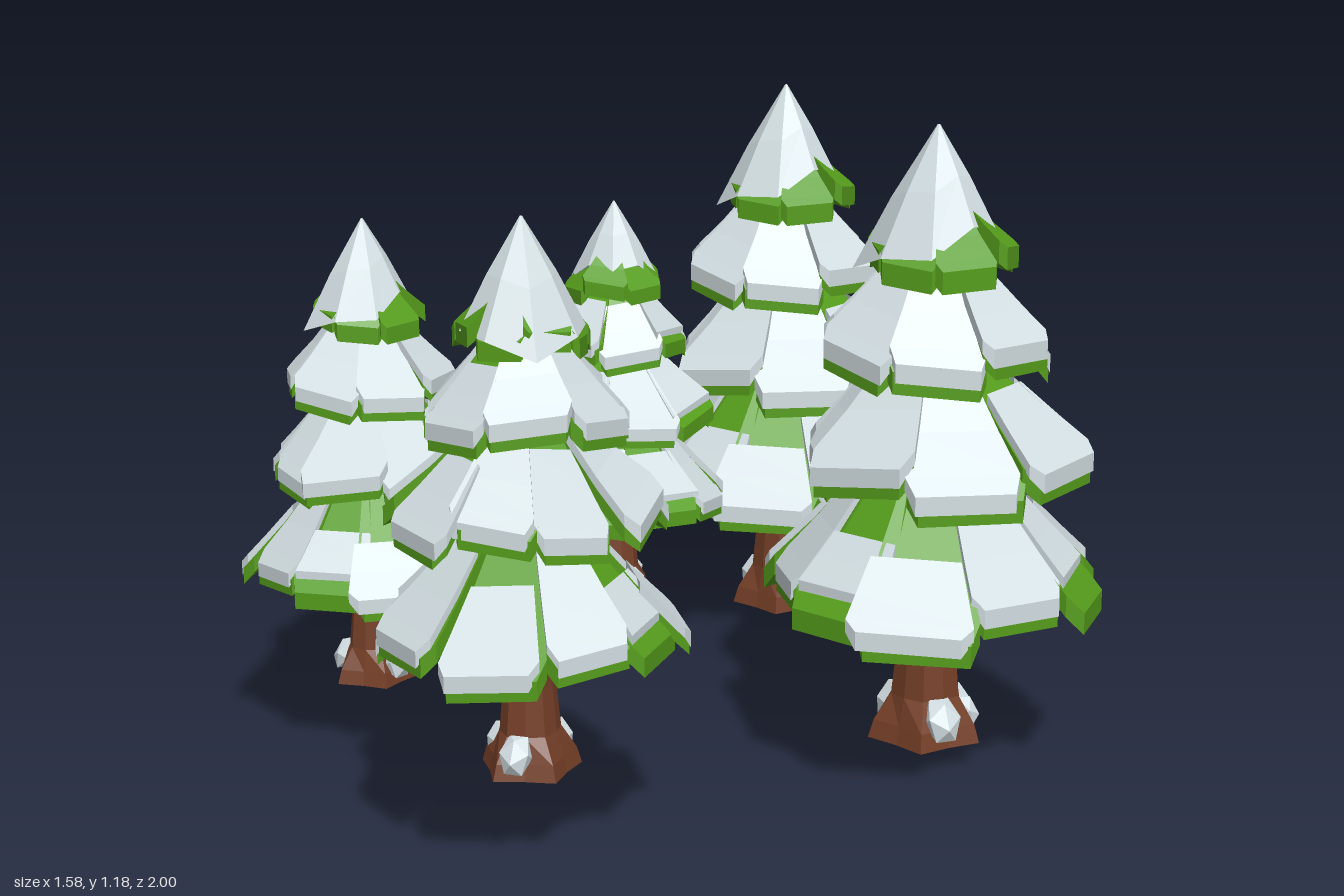
import * as THREE from 'three';
import { mergeGeometries } from 'three/addons/utils/BufferGeometryUtils.js';

const RAD = Math.PI / 180;

// flat-faced copy of a geometry
function facet(geo) {
  const g = geo.index ? geo.toNonIndexed() : geo;
  g.deleteAttribute('uv');
  g.computeVertexNormals();
  return g;
}

// small seeded random generator
function seeded(seed) {
  return () => {
    seed = (seed * 16807) % 2147483647;
    return seed / 2147483647;
  };
}

// solid slab pointing outward at angle a, rolled sideways; each section is [radius, halfWidth, top, bottom]
function slab(a, roll, sections) {
  const s = Math.sin(a), c = Math.cos(a);
  const rings = sections.map(([r, w, top, bot]) =>
    [[-w, top], [w, top], [w, bot], [-w, bot]].map(([t, y]) => [s * r + c * t, y + t * roll, c * r - s * t]));
  const pos = [];
  const quad = (p, q, u, v) => pos.push(...p, ...q, ...u, ...p, ...u, ...v);
  for (let i = 0; i < rings.length - 1; i++) {
    const A = rings[i], B = rings[i + 1];
    for (let j = 0; j < 4; j++) quad(A[j], B[j], B[(j + 1) % 4], A[(j + 1) % 4]);
  }
  const A = rings[0], Z = rings[rings.length - 1];
  quad(A[0], A[1], A[2], A[3]);
  quad(Z[0], Z[3], Z[2], Z[1]);
  const g = new THREE.BufferGeometry();
  g.setAttribute('position', new THREE.Float32BufferAttribute(pos, 3));
  return facet(g);
}

// one tier: drooping green boughs [angle, reach, snowFrom, snowTo], snow lying on part of each
function tierGeometry({ yTop, rTop, yRim, boughs, seed }) {
  const rnd = seeded(seed), green = [], snow = [];
  const spread = Math.tan(Math.PI / boughs.length);
  boughs.forEach(([deg, reach, from, to], k) => {
    const a = deg * RAD;
    const y1 = yRim + (k % 2) * 0.018 + 0.012 * rnd();
    const roll = (rnd() - 0.5) * 0.3;
    const section = (t, lift, thick, widen) => {
      const r = rTop + (reach - rTop) * t;
      const y = yTop + (y1 + 0.035 - yTop) * Math.pow(t, 0.88) + lift;
      const w = r * spread * widen * (t > 0.95 ? 0.82 : 1.05);
      return [r, w, y, y - thick];
    };
    green.push(slab(a, roll, [0, 0.5, 0.85, 1].map((t) => section(t, 0, 0.035, 1))));
    if (to > from) {
      const wide = 0.93 + 0.12 * rnd(), skew = (rnd() - 0.5) * 0.1;
      // full-length snow hangs over the tip of its bough
      snow.push(slab(a + skew, roll, [0, 0.5, 0.84, 1].map((u) =>
        section(from + (to - from) * u, 0.016, u === 1 && to > 1 ? 0.03 : 0.021, wide))));
    }
  });
  // inner cone closes the gaps between boughs
  const h = (yTop - yRim) * 0.5;
  const core = new THREE.CylinderGeometry(rTop * 0.9, rTop + (boughs[0][1] - rTop) * 0.3, h, boughs.length);
  core.translate(0, yTop - 0.02 - h / 2, 0);
  green.push(facet(core));
  return { green: mergeGeometries(green), snow: snow.length ? mergeGeometries(snow) : null };
}

// snow cap, a cone cut at a slant so its rim is higher on one side
function capGeometry() {
  const g = new THREE.CylinderGeometry(0.002, 0.1, 0.2, 8, 2);
  const p = g.attributes.position;
  for (let i = 0; i < p.count; i++) {
    const x = p.getX(i), z = p.getZ(i);
    const a = Math.atan2(x, z), low = (0.1 - p.getY(i)) / 0.2;
    const centre = Math.hypot(x, z) < 0.001;
    const drop = centre ? 0.15 * low : low * (0.184 - 0.035 * Math.sin(a) + 0.01 * Math.cos(a * 4));
    const k = centre ? 0 : (0.56 * drop * (low === 0.5 ? 1.08 : 1) + 0.002) / Math.hypot(x, z);
    p.setXYZ(i, x * k, 1 - drop, z * k);
  }
  return facet(g);
}

// trunk with a flared, knobbly foot
function trunkGeometry() {
  const profile = [[0, 0.004], [0.084, 0], [0.076, 0.03], [0.056, 0.075], [0.048, 0.16], [0.043, 0.4], [0, 0.4]];
  const g = new THREE.LatheGeometry(profile.map(([x, y]) => new THREE.Vector2(x, y)), 10);
  const p = g.attributes.position;
  for (let i = 0; i < p.count; i++) {
    const y = p.getY(i);
    const a = Math.atan2(p.getX(i), p.getZ(i));
    const k = 1 + (y < 0.05 ? 0.13 : 0.03) * Math.cos(a * 5);
    p.setX(i, p.getX(i) * k);
    p.setZ(i, p.getZ(i) * k);
  }
  return facet(g);
}

// lumps of snow lying on the roots
function rootSnowGeometry() {
  return mergeGeometries([[28, 0.032], [88, 0.024], [135, 0.028], [238, 0.032]].map(([deg, s]) => {
    const g = new THREE.IcosahedronGeometry(1, 0);
    g.scale(s, s * 1.3, s * 0.8);
    g.rotateX(-0.5);
    g.translate(0, 0.047, 0.066);
    g.rotateY(deg * RAD);
    return facet(g);
  }));
}

export function createModel() {
  const mat = (name, color) => {
    const m = new THREE.MeshStandardMaterial({ color });
    m.name = name;
    return m;
  };
  const snow = mat('snow', 0xd4e0e4);
  const green = mat('needleGreen', 0x569e1c);
  const bark = mat('barkBrown', 0x753f27);

  const tiers = [
    { name: 'bottom', yTop: 0.47, rTop: 0.085, yRim: 0.215, seed: 11, boughs: [
      [0, 0.275, 0.55, 1.02], [40, 0.24, 0.3, 1.02], [80, 0.268, 0.3, 0.8], [122, 0.262, 0.4, 0.87],
      [160, 0.255, 0.15, 1.02], [200, 0.255, 0.2, 1.02], [246, 0.262, 0.4, 1.02], [288, 0.235, 0.1, 1.02],
      [326, 0.25, 0.5, 0.87]] },
    { name: 'lower', yTop: 0.65, rTop: 0.065, yRim: 0.425, seed: 57, boughs: [
      [18, 0.24, 0.1, 1.02], [63, 0.24, 0.35, 1.02], [108, 0.238, 0.3, 1.02], [153, 0.235, 0.1, 0.9],
      [198, 0.22, 0.35, 1.02], [243, 0.188, 0.1, 1.02], [288, 0.183, 0.25, 1.02], [333, 0.225, 0, 1.02]] },
    { name: 'upper', yTop: 0.80, rTop: 0.05, yRim: 0.605, seed: 93, boughs: [
      [5, 0.168, 0, 1.02], [56, 0.17, 0.3, 1.02], [108, 0.168, 0.3, 1.02], [159, 0.163, 0.1, 0.88],
      [211, 0.163, 0.35, 1.02], [262, 0.16, 0, 1.02], [314, 0.168, 0.15, 1.02]] },
    { name: 'top', yTop: 0.89, rTop: 0.042, yRim: 0.757, seed: 35, boughs: [
      [30, 0.115, 0, 0], [81, 0.122, 0, 0], [133, 0.118, 0, 0], [184, 0.108, 0, 0],
      [236, 0.1, 0, 0], [287, 0.1, 0, 0], [339, 0.106, 0, 0]] },
  ].map((t) => ({ name: t.name, ...tierGeometry(t) }));
  const trunk = trunkGeometry(), rootSnow = rootSnowGeometry(), cap = capGeometry();

  const add = (parent, name, geo, material) => {
    const mesh = new THREE.Mesh(geo, material);
    mesh.name = name;
    parent.add(mesh);
  };

  const model = new THREE.Group();
  model.name = 'snowyTrees';
  // x, z, base height, tree height, turn in degrees
  const trees = [
    [0.045, -0.70, 0, 1.145, 4],
    [-0.235, -0.32, 0.12, 0.825, -78],
    [0.48, 0.16, 0.045, 1.135, 4],
    [-0.55, 0.28, 0.12, 0.875, 33],
    [-0.11, 0.74, 0.155, 0.935, 117],
  ];
  trees.forEach(([x, z, base, height, turn], i) => {
    const tree = new THREE.Group();
    tree.name = `tree${i + 1}`;
    add(tree, 'trunk', trunk, bark);
    add(tree, 'rootSnow', rootSnow, snow);
    for (const t of tiers) {
      add(tree, `${t.name}Boughs`, t.green, green);
      if (t.snow) add(tree, `${t.name}Snow`, t.snow, snow);
    }
    add(tree, 'snowCap', cap, snow);
    tree.position.set(x, base, z);
    tree.scale.setScalar(height);
    tree.rotation.y = turn * RAD;
    model.add(tree);
  });
  return model;
}
